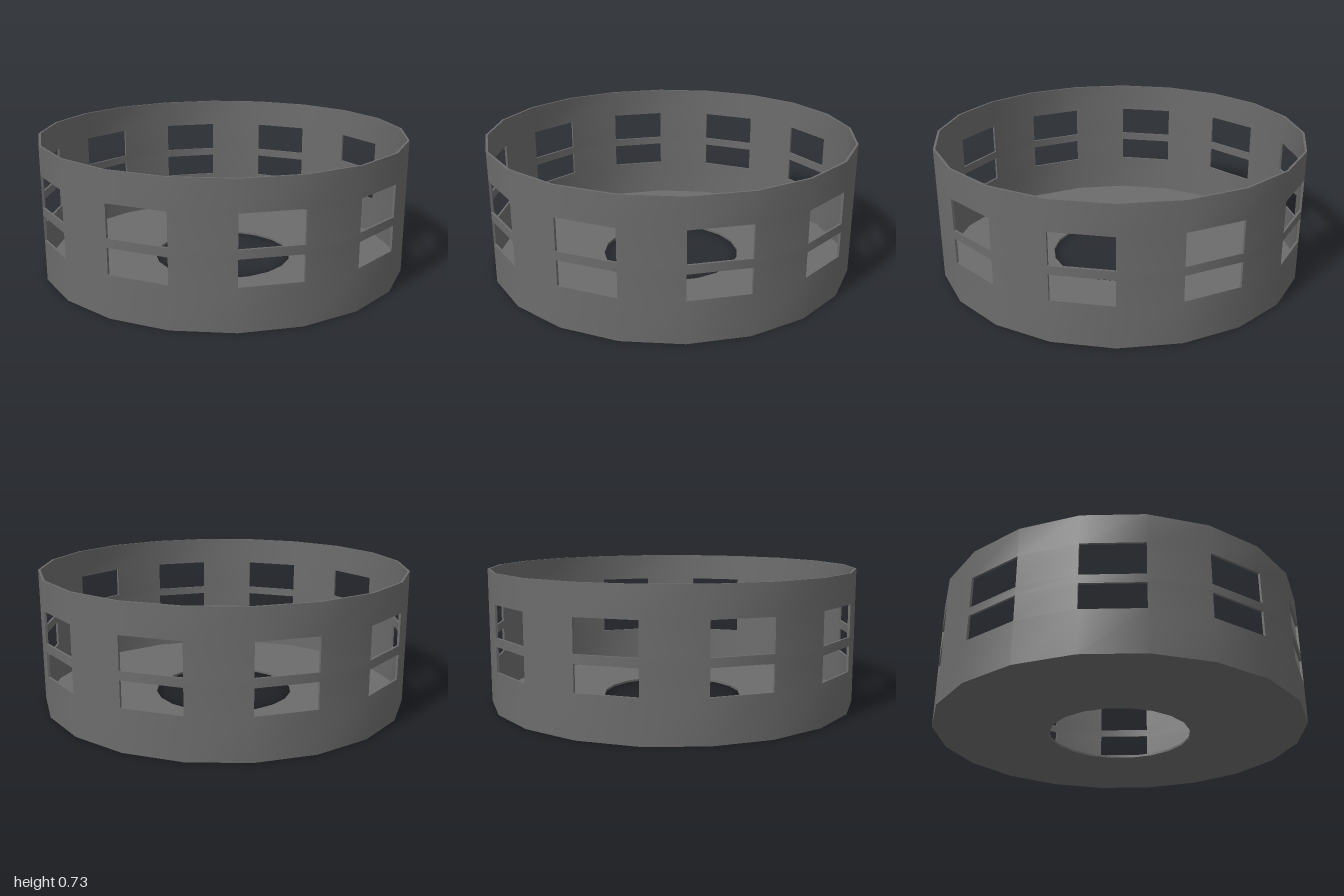
import * as THREE from 'three';
import { toCreasedNormals } from 'three/addons/utils/BufferGeometryUtils.js';

const SIDES = 20;
const OUTER = 1, INNER = 0.988, HOLE = 0.383, FLOOR = 0.012;
const LEVELS = [0, 0.222, 0.355, 0.4, 0.568, 0.725]; // heights where window rows start and end

// Wall cell: every second panel is open in the two window rows
const solid = (side, row) =>
  row >= 0 && row < LEVELS.length - 1 &&
  !(((side + SIDES) % 2 === 0) && (row === 1 || row === 3));

const point = (r, side, y) => {
  const a = (side / SIDES) * Math.PI * 2;
  return [r * Math.sin(a), y, r * Math.cos(a)];
};

function wallGeometry() {
  const pos = [];
  const quad = (a, b, c, d) => pos.push(...a, ...b, ...c, ...a, ...c, ...d);

  for (let s = 0; s < SIDES; s++) {
    for (let row = 0; row < LEVELS.length - 1; row++) {
      if (!solid(s, row)) continue;
      const y0 = LEVELS[row], y1 = LEVELS[row + 1];
      const [o00, o10, o11, o01] = [[s, y0], [s + 1, y0], [s + 1, y1], [s, y1]].map(([i, y]) => point(OUTER, i, y));
      const [i00, i10, i11, i01] = [[s, y0], [s + 1, y0], [s + 1, y1], [s, y1]].map(([i, y]) => point(INNER, i, y));
      quad(o00, o10, o11, o01); // outside
      quad(i10, i00, i01, i11); // inside
      // rims and window reveals
      if (!solid(s, row + 1)) quad(o01, o11, i11, i01);
      if (!solid(s, row - 1)) quad(i00, i10, o10, o00);
      if (!solid(s - 1, row)) quad(i00, o00, o01, i01);
      if (!solid(s + 1, row)) quad(o10, i10, i11, o11);
    }
  }
  const geo = new THREE.BufferGeometry();
  geo.setAttribute('position', new THREE.Float32BufferAttribute(pos, 3));
  return toCreasedNormals(geo, 0.5);
}

// Thin floor ring with a round opening
function floorGeometry() {
  const profile = [[INNER, FLOOR], [HOLE, FLOOR], [HOLE, 0], [INNER, 0]]
    .map(([x, y]) => new THREE.Vector2(x, y));
  return toCreasedNormals(new THREE.LatheGeometry(profile, SIDES), 0.5);
}

export function createModel() {
  const group = new THREE.Group();
  group.name = 'windowedRing';
  const grey = new THREE.MeshStandardMaterial({ color: 0x6c6c6c });
  grey.name = 'grey';

  const wall = new THREE.Mesh(wallGeometry(), grey);
  wall.name = 'windowedWall';
  const floor = new THREE.Mesh(floorGeometry(), grey);
  floor.name = 'floorRing';
  group.add(wall, floor);
  return group;
}
